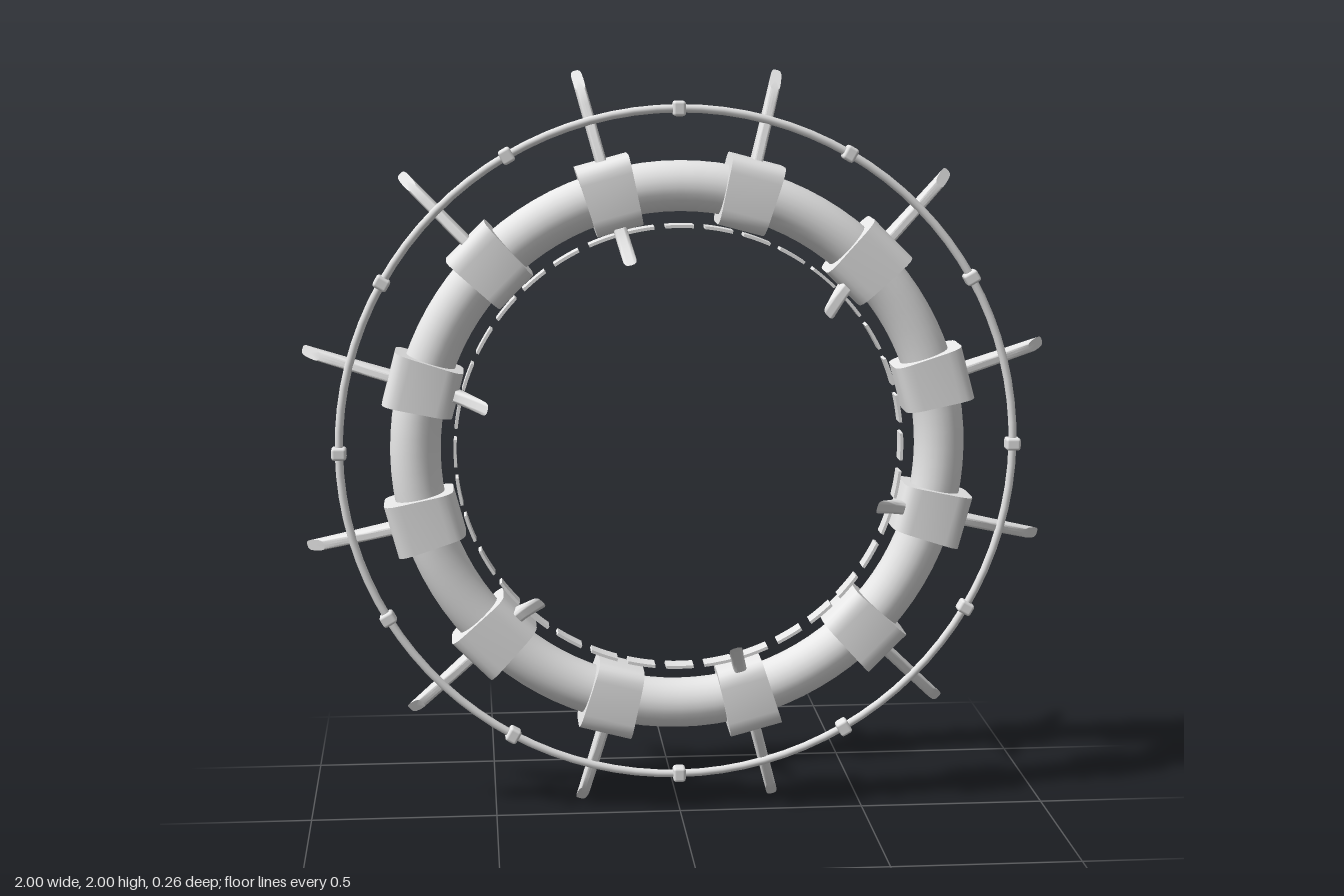
import * as THREE from 'three';
import { toCreasedNormals } from 'three/addons/utils/BufferGeometryUtils.js';
import { RoundedBoxGeometry } from 'three/addons/geometries/RoundedBoxGeometry.js';

const Z = -0.033; // plane of the rings

// Swept blade along +x with a squarish section, leaning towards -z, slanted tip
function bladeGeometry(length, cut, lean, baseHalf, tipHalf, thick) {
  const g = new THREE.CylinderGeometry(1, 1, 1, 24, 6);
  const p = g.attributes.position;
  const square = (c) => Math.sign(c) * Math.pow(Math.abs(c), 0.6);
  for (let i = 0; i < p.count; i++) {
    const u = square(p.getX(i)), t = p.getY(i) + 0.5, v = square(p.getZ(i));
    const reach = length - cut * (1 + u) / 2;
    const half = THREE.MathUtils.lerp(baseHalf, tipHalf, t);
    p.setXYZ(i, reach * t, v * thick, u * half - lean * Math.pow(t, 1.2));
  }
  return toCreasedNormals(g, 0.8);
}

// Rounded sleeve around the tube, slightly wider on the outside of the ring
function clampGeometry() {
  const a = 0.094, b = 0.088, r = 0.045;
  const s = new THREE.Shape();
  s.moveTo(-a + r, -b);
  s.lineTo(a - r, -b);
  s.quadraticCurveTo(a, -b, a, -b + r);
  s.lineTo(a, b - r);
  s.quadraticCurveTo(a, b, a - r, b);
  s.lineTo(-a + r, b);
  s.quadraticCurveTo(-a, b, -a, b - r);
  s.lineTo(-a, -b + r);
  s.quadraticCurveTo(-a, -b, -a + r, -b);
  const g = new THREE.ExtrudeGeometry(s, { depth: 0.134, bevelEnabled: false, curveSegments: 4 });
  g.translate(0, 0, -0.067);
  g.rotateX(Math.PI / 2);
  const p = g.attributes.position;
  for (let i = 0; i < p.count; i++) p.setY(i, p.getY(i) * (1 + p.getX(i) * 0.8));
  return toCreasedNormals(g, 1.1);
}

export function createModel() {
  const model = new THREE.Group();
  const metal = new THREE.MeshStandardMaterial({ color: 0xe7e7e7 });
  metal.name = 'light grey metal';

  const ring = new THREE.Group();
  ring.name = 'ringAssembly';
  ring.position.y = 1;
  model.add(ring);

  const add = (parent, geometry, name, x = 0, z = 0) => {
    const m = new THREE.Mesh(geometry, metal);
    m.name = name;
    m.position.set(x, 0, z);
    parent.add(m);
  };
  // Group whose local +x points outward at the given angle
  const spoke = (degrees, name) => {
    const g = new THREE.Group();
    g.name = name;
    g.rotation.z = THREE.MathUtils.degToRad(degrees);
    ring.add(g);
    return g;
  };

  // Main tube and thin outer hoop
  add(ring, new THREE.TorusGeometry(0.703, 0.067, 24, 96), 'mainTube', 0, Z);
  add(ring, new THREE.TorusGeometry(0.905, 0.011, 10, 96), 'outerHoop', 0, Z);

  const clamp = clampGeometry();
  const outerBlade = bladeGeometry(0.275, 0.05, 0.062, 0.045, 0.032, 0.015);
  const innerBlade = bladeGeometry(0.09, 0.04, 0.085, 0.04, 0.032, 0.018);
  innerBlade.rotateY(Math.PI);
  const bead = new RoundedBoxGeometry(0.04, 0.034, 0.044, 2, 0.008);

  for (let i = 0; i < 12; i++) {
    // Clamp with an outer blade; every other one also has an inner blade
    const g = spoke(15 + 30 * i, 'clampUnit');
    add(g, clamp, 'clamp', 0.703, Z);
    add(g, outerBlade, 'outerBlade', 0.76, -0.035);
    if (i % 2 === 1) add(g, innerBlade, 'innerBlade', 0.62, 0.012);
    // Bead on the hoop between two clamps
    add(spoke(30 * i, 'beadMount'), bead, 'hoopBead', 0.905, Z);
  }

  // Inner lining of short curved plates
  const arc = 0.125;
  const plateShape = new THREE.Shape();
  plateShape.absarc(0, 0, 0.602, -arc / 2, arc / 2, false);
  plateShape.absarc(0, 0, 0.594, arc / 2, -arc / 2, true);
  const plate = new THREE.ExtrudeGeometry(plateShape, { depth: 0.055, bevelEnabled: false, curveSegments: 4 });
  plate.translate(0, 0, -0.0275);
  for (let i = 0; i < 36; i++) add(spoke(10 * i, 'plateMount'), plate, 'liningPlate', 0, Z);

  return model;
}
